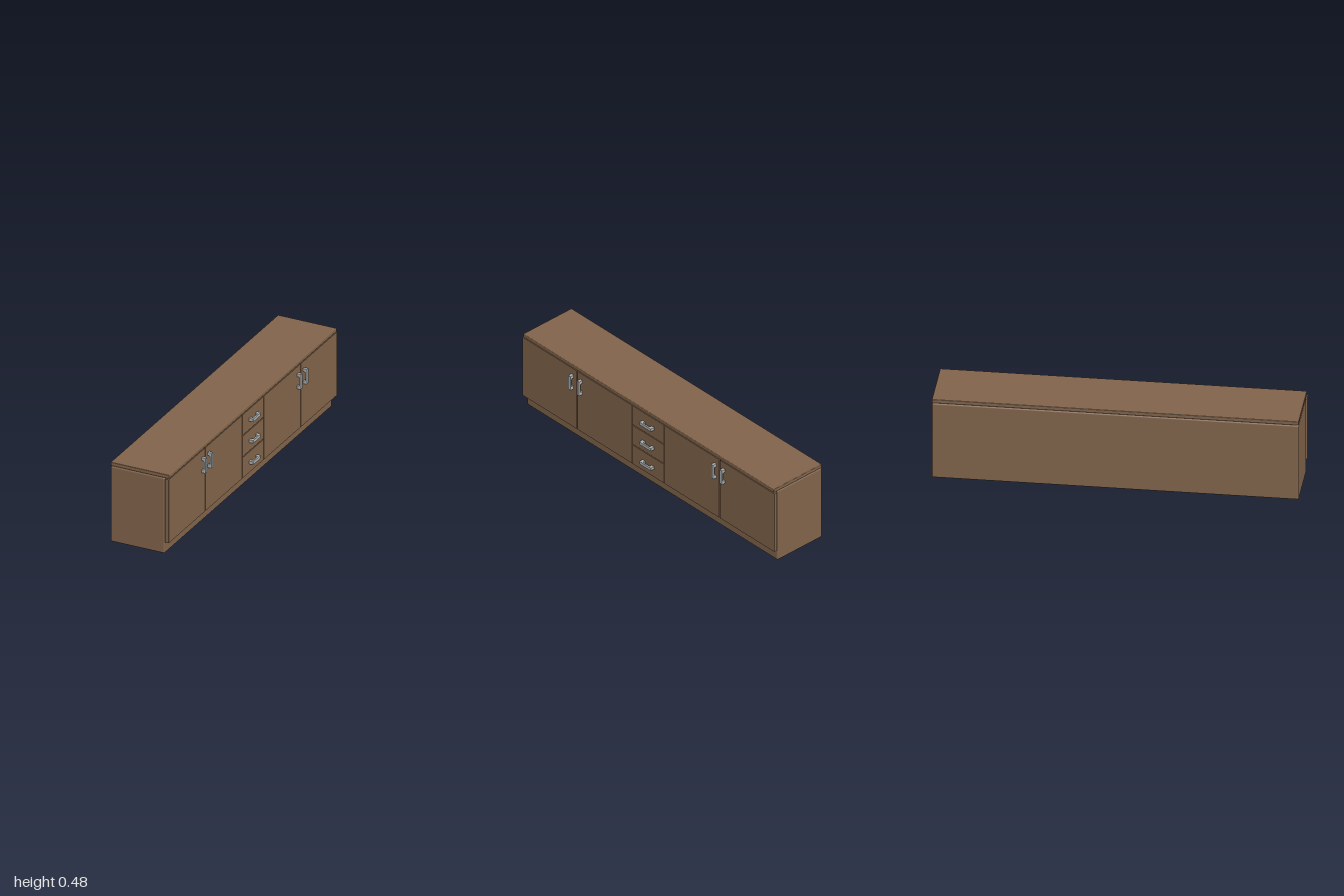
import * as THREE from 'three';
import { RoundedBoxGeometry } from 'three/addons/geometries/RoundedBoxGeometry.js';

export function createModel() {
  const model = new THREE.Group();
  model.name = 'sideboard';

  const wood = new THREE.MeshStandardMaterial({ color: 0x80634a });
  wood.name = 'brown wood';
  const metal = new THREE.MeshStandardMaterial({ color: 0xabb0b1 });
  metal.name = 'grey metal';

  // Box given by its lower and upper corners, with softened edges
  function board(name, [x0, y0, z0], [x1, y1, z1], radius) {
    const geometry = new RoundedBoxGeometry(x1 - x0, y1 - y0, z1 - z0, 3, radius);
    const mesh = new THREE.Mesh(geometry, wood);
    mesh.position.set((x0 + x1) / 2, (y0 + y1) / 2, (z0 + z1) / 2);
    mesh.name = name;
    model.add(mesh);
  }

  // Carcass and worktop
  board('carcass', [-0.19, 0, -0.994], [0.136, 0.453, 0.994], 0.009);
  board('worktop', [-0.189, 0.455, -0.994], [0.164, 0.477, 0.994], 0.004);

  // Fronts stand slightly proud of the carcass on the +x side
  const front = (name, y0, y1, z0, z1) =>
    board(name, [0.143, y0, z0], [0.165, y1, z1], 0.001);

  // Handle: bracket outline with an open, rounded inner side
  const half = 0.0455, foot = 0.018, depth = 0.024, grip = 0.009, r = 0.008;
  const inner = half - foot, reach = depth - grip, edge = 0.002;
  const outline = new THREE.Shape();
  outline.moveTo(0, -half);
  outline.lineTo(depth - edge, -half);
  outline.lineTo(depth, -half + edge);
  outline.lineTo(depth, half - edge);
  outline.lineTo(depth - edge, half);
  outline.lineTo(0, half);
  outline.lineTo(0, inner);
  outline.lineTo(reach - r, inner);
  outline.quadraticCurveTo(reach, inner, reach, inner - r);
  outline.lineTo(reach, -inner + r);
  outline.quadraticCurveTo(reach, -inner, reach - r, -inner);
  outline.lineTo(0, -inner);
  const handleGeometry = new THREE.ExtrudeGeometry(outline, {
    depth: 0.018, bevelEnabled: false, curveSegments: 6,
  });
  handleGeometry.translate(0, 0, -0.009);

  function handle(name, y, z, horizontal) {
    const mesh = new THREE.Mesh(handleGeometry, metal);
    mesh.position.set(0.165, y, z);
    if (horizontal) mesh.rotation.x = Math.PI / 2;
    mesh.name = name;
    model.add(mesh);
  }

  // Pair of doors on each side of the drawers
  for (const [side, s] of [['left', -1], ['right', 1]]) {
    for (const [place, a, b, h] of [['inner', 0.129, 0.562, 0.531], ['outer', 0.569, 1, 0.601]]) {
      front(`${side} ${place} door`, 0.072, 0.453, Math.min(s * a, s * b), Math.max(s * a, s * b));
      handle(`${side} ${place} door handle`, 0.3675, s * h, false);
    }
  }

  // Stack of three drawers in the middle
  for (let i = 0; i < 3; i++) {
    const y = 0.072 + i * 0.1285;
    front(`drawer ${i + 1}`, y, y + 0.124, -0.125, 0.125);
    handle(`drawer handle ${i + 1}`, 0.132 + i * 0.1285, 0, true);
  }

  return model;
}
